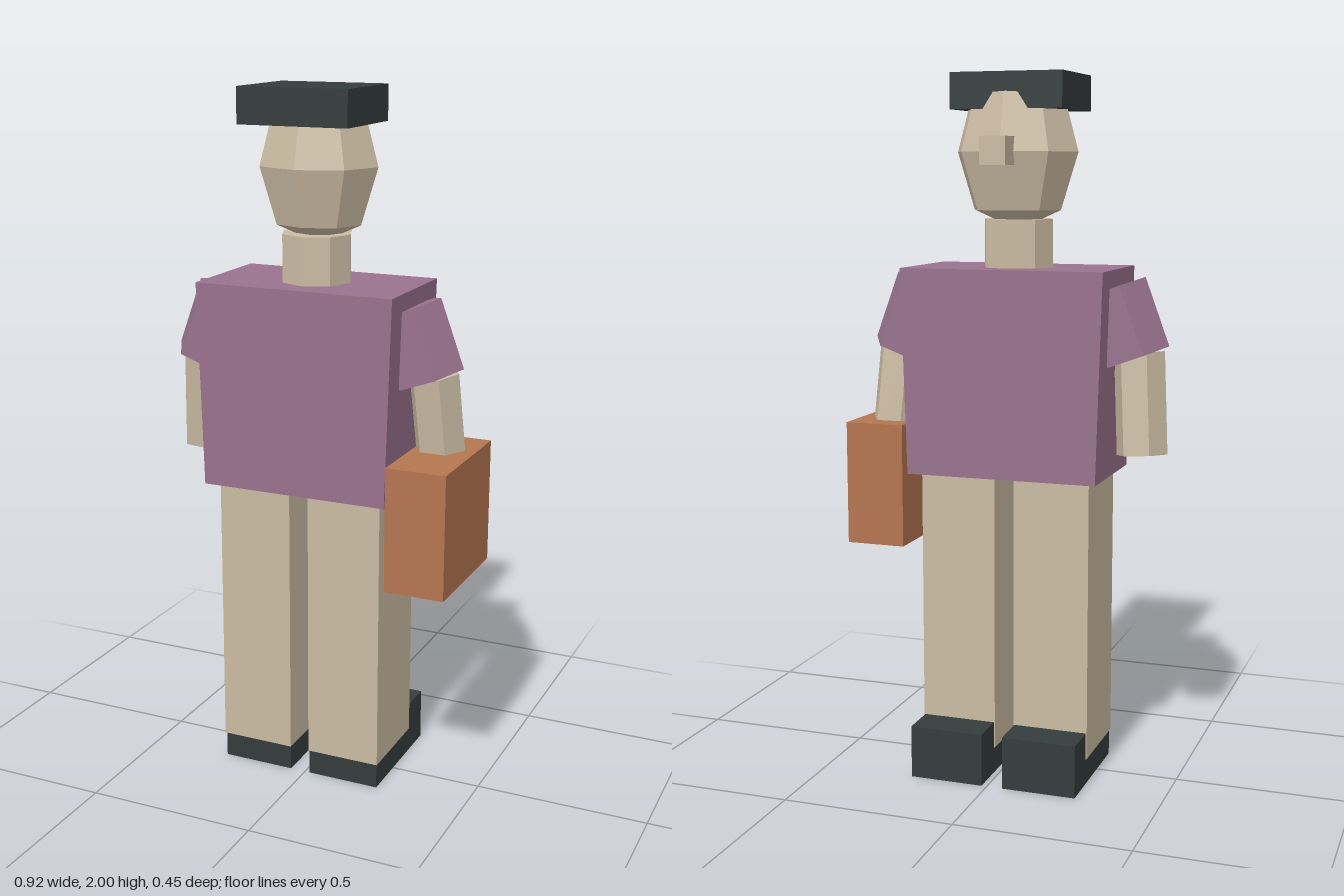
import * as THREE from 'three';

const flat = (name, color) => {
  const m = new THREE.MeshStandardMaterial({ color });
  m.name = name;
  m.flatShading = true;
  return m;
};

export function createModel() {
  const group = new THREE.Group();
  const skin = flat('beige', 0xcbbca3);
  const shirt = flat('mauve', 0x99738e);
  const dark = flat('charcoal', 0x353c3c);
  const leather = flat('tan leather', 0xb57650);
  const midX = -0.0155; // the figure's own centre line

  const add = (name, geometry, material) => {
    const mesh = new THREE.Mesh(geometry, material);
    mesh.name = name;
    group.add(mesh);
    return mesh;
  };

  // Box given by its extents along each axis
  const box = (name, [x0, x1], [y0, y1], [z0, z1], material) => {
    const mesh = add(name, new THREE.BoxGeometry(x1 - x0, y1 - y0, z1 - z0), material);
    mesh.position.set((x0 + x1) / 2, (y0 + y1) / 2, (z0 + z1) / 2);
    return mesh;
  };

  // Hexagonal limb between two points, with corners pointing sideways
  const limb = (name, top, bottom, radius, material) => {
    const a = new THREE.Vector3(...top);
    const b = new THREE.Vector3(...bottom);
    const geometry = new THREE.CylinderGeometry(radius, radius, a.distanceTo(b), 6, 1, false, Math.PI / 2);
    const mesh = add(name, geometry, material);
    mesh.position.copy(a).add(b).multiplyScalar(0.5);
    mesh.quaternion.setFromUnitVectors(new THREE.Vector3(0, 1, 0), a.sub(b).normalize());
  };

  // Torso, slightly narrower at the hem
  const torso = box('torso', [-0.31, 0.279], [0.88, 1.465], [-0.16, 0.176], shirt);
  const p = torso.geometry.attributes.position;
  for (let i = 0; i < p.count; i++) if (p.getY(i) < 0) p.setX(i, p.getX(i) * 0.943);

  // Legs, shoes and arms, mirrored about the centre line
  for (const [side, s] of [['left', 1], ['right', -1]]) {
    const x = (d) => midX + s * d;
    const span = (a, b) => [Math.min(x(a), x(b)), Math.max(x(a), x(b))];
    box(side + 'Leg', span(0.029, 0.249), [0.075, 0.9], [-0.12, 0.136], skin);
    box(side + 'Shoe', span(0.031, 0.246), [0, 0.152], [-0.228, 0.131], dark);
    limb(side + 'Sleeve', [x(0.27), 1.407, 0.008], [x(0.34), 1.217, 0.008], 0.107, shirt);
    limb(side + 'Forearm', [x(0.355), 1.235, 0.01], [x(0.374), 0.95, -0.02], 0.073, skin);
  }

  // Neck
  const neck = add('neck', new THREE.CylinderGeometry(0.102, 0.102, 0.15, 8), skin);
  neck.position.set(midX, 1.525, 0.008);

  // Faceted head, a little shallower than wide
  const profile = [[0, 1.6], [0.072, 1.6], [0.128, 1.625], [0.178, 1.785], [0.134, 1.945], [0, 1.965]];
  const head = add('head', new THREE.LatheGeometry(profile.map((q) => new THREE.Vector2(...q)), 8), skin);
  head.scale.z = 0.88;
  head.position.set(midX, 0, -0.003);

  // Nose, cap and carried bag
  box('nose', [-0.052, 0.022], [1.748, 1.825], [-0.212, -0.1], skin);
  box('cap', [-0.178, 0.146], [1.9, 2], [-0.108, 0.168], dark);
  box('bag', [0.286, 0.459], [0.66, 1.016], [-0.142, 0.227], leather);

  return group;
}
